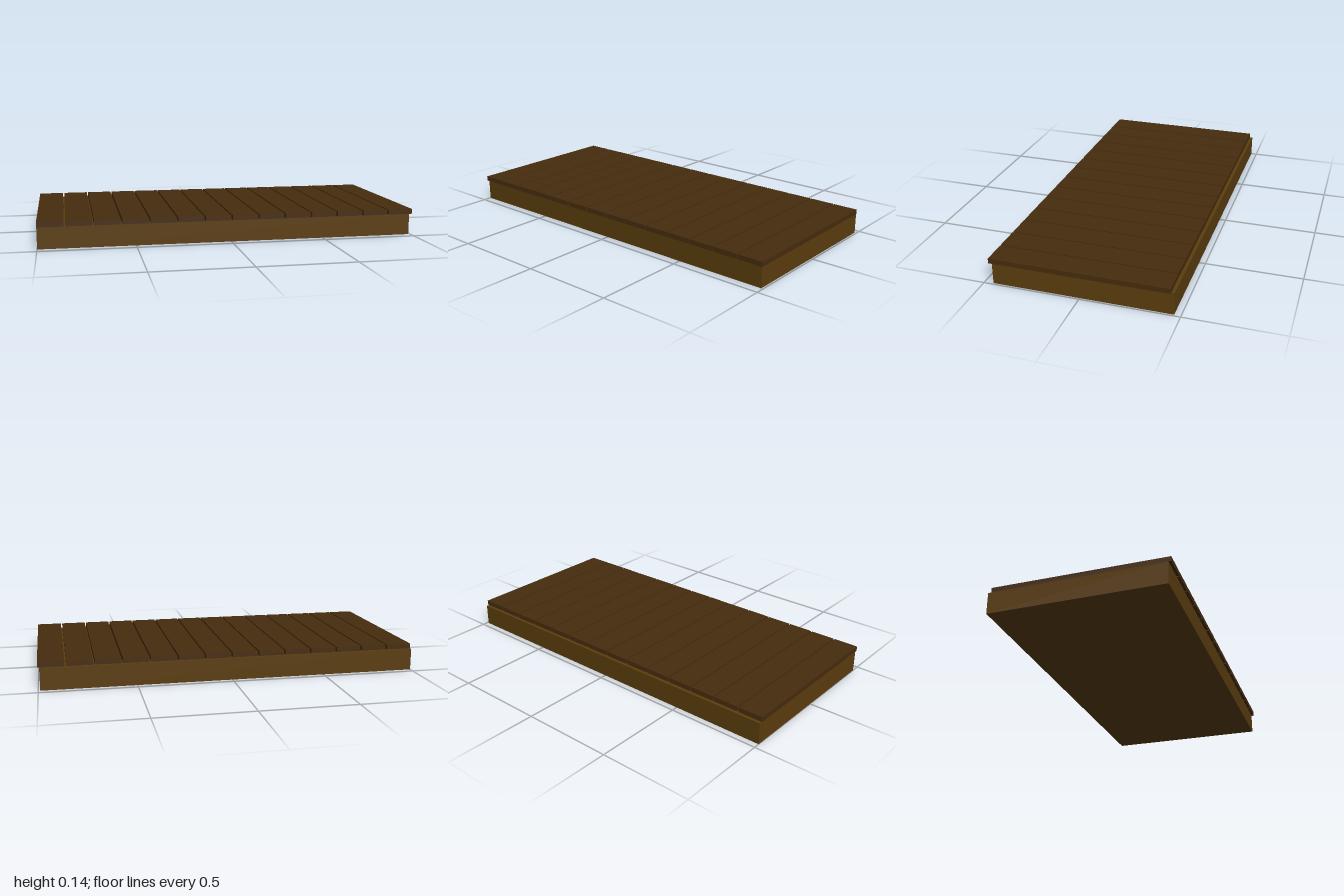
import * as THREE from 'three';

export function createModel() {
  const model = new THREE.Group();
  const baseWood = new THREE.MeshStandardMaterial({ color: 0x5b3d0e });
  baseWood.name = 'base wood';
  const plankWood = new THREE.MeshStandardMaterial({ color: 0x462c0e });
  plankWood.name = 'plank wood';

  // Box given by its minimum and maximum corners
  function addBox(name, material, min, max) {
    const size = max.map((v, i) => v - min[i]);
    const mesh = new THREE.Mesh(new THREE.BoxGeometry(...size), material);
    mesh.position.set(...min.map((v, i) => v + size[i] / 2));
    mesh.name = name;
    model.add(mesh);
  }

  // Solid base, set slightly back from the front and left edges
  const deckBottom = 0.116;
  addBox('base', baseWood, [-1, 0, -0.467], [0.99, deckBottom, 0.453]);

  // Row of deck planks with narrow gaps
  const count = 14, gap = 0.008;
  const width = (2 - gap * (count - 1)) / count;
  for (let i = 0; i < count; i++) {
    const x = -1 + i * (width + gap);
    addBox(`plank${i + 1}`, plankWood, [x, deckBottom, -0.45], [x + width, 0.142, 0.467]);
  }
  return model;
}
